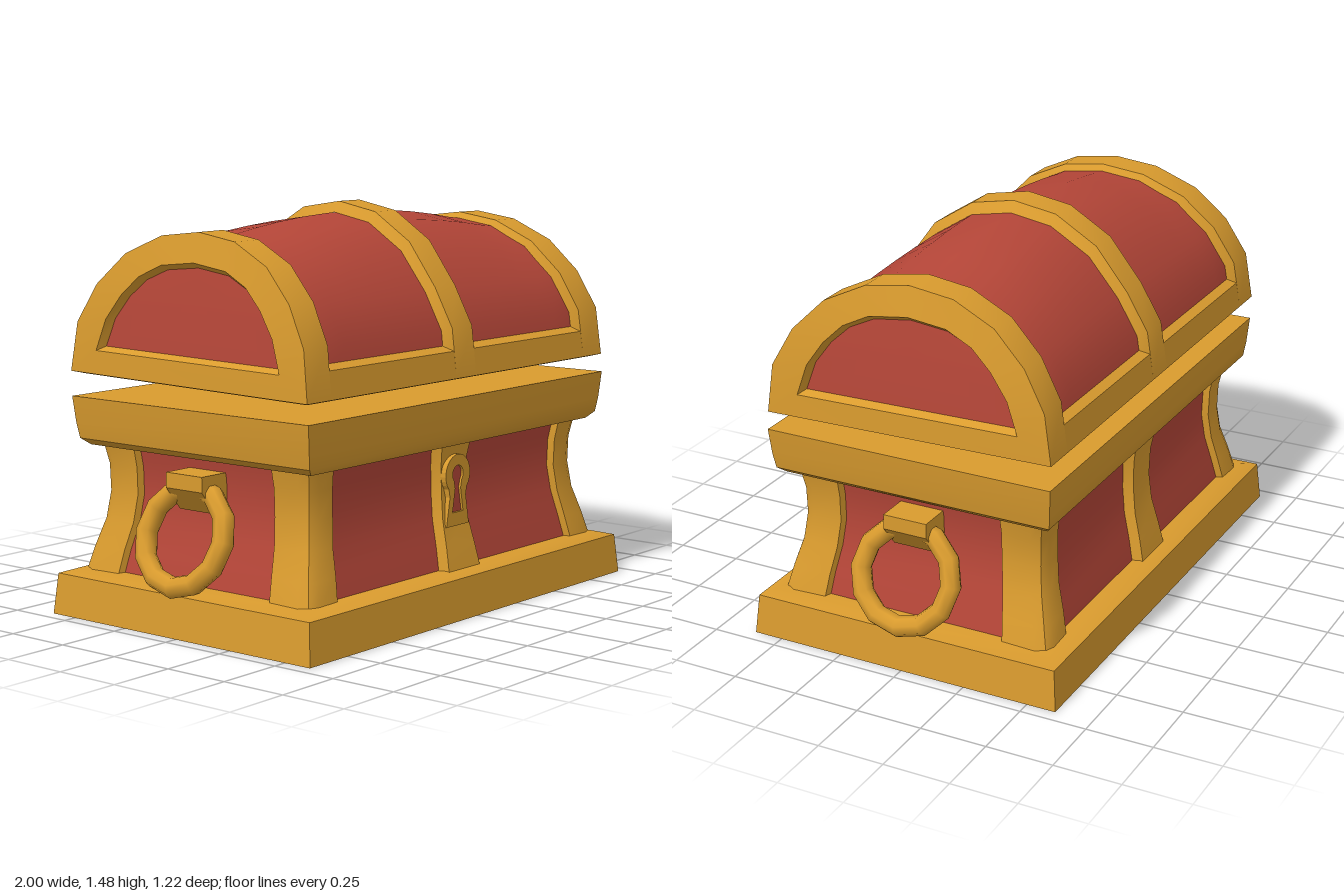
import * as THREE from 'three';
import { toCreasedNormals } from 'three/addons/utils/BufferGeometryUtils.js';

const gold = new THREE.MeshStandardMaterial({ color: 0xd99b2e });
gold.name = 'gold';
const red = new THREE.MeshStandardMaterial({ color: 0xb54638 });
red.name = 'red';

const V = (x, y, z) => new THREE.Vector3(x, y, z);

function add(parent, name, geometry, material) {
  const mesh = new THREE.Mesh(geometry, material);
  mesh.name = name;
  parent.add(mesh);
  return mesh;
}

// Skin a grid of points; columns run left to right and rows upward, seen from outside
function skin(rows, closeCols = false, closeRows = false) {
  const pos = [];
  const tri = (a, b, c) => {
    const area = b.clone().sub(a).cross(c.clone().sub(a)).length();
    if (area > 1e-8) for (const p of [a, b, c]) pos.push(p.x, p.y, p.z);
  };
  const nr = rows.length, nc = rows[0].length;
  for (let i = 0; i < (closeRows ? nr : nr - 1); i++) {
    for (let j = 0; j < (closeCols ? nc : nc - 1); j++) {
      const r0 = rows[i], r1 = rows[(i + 1) % nr], k = (j + 1) % nc;
      tri(r0[j], r0[k], r1[k]);
      tri(r0[j], r1[k], r1[j]);
    }
  }
  const g = new THREE.BufferGeometry();
  g.setAttribute('position', new THREE.Float32BufferAttribute(pos, 3));
  return toCreasedNormals(g, 0.7);
}

// A ring collapsed to its middle, for closing an end
function middle(ring) {
  const c = V(0, 0, 0);
  ring.forEach((p) => c.add(p));
  c.divideScalar(ring.length);
  return ring.map(() => c);
}
const solid = (rings) => skin([middle(rings[0]), ...rings, middle(rings[rings.length - 1])], true);
const boxRing = ([x, z, y]) => [V(-x, y, z), V(x, y, z), V(x, y, -z), V(-x, y, -z)];
// Mirror a list of points to another side, keeping its facing
function mirror(points, sx, sz) {
  const m = points.map((p) => V(p.x * sx, p.y, p.z * sz));
  return sx * sz < 0 ? m.reverse() : m;
}

// Concave body: y, half width, half depth, post inner x, post inner z, band half width
const BODY = [
  [0.16, 0.872, 0.542, 0.70, 0.345, 0.11],
  [0.25, 0.848, 0.522, 0.685, 0.335, 0.10],
  [0.35, 0.815, 0.496, 0.67, 0.32, 0.09],
  [0.45, 0.80, 0.485, 0.657, 0.31, 0.085],
  [0.55, 0.803, 0.487, 0.66, 0.31, 0.09],
  [0.63, 0.82, 0.50, 0.67, 0.31, 0.102],
];

function buildBase() {
  const base = new THREE.Group();
  base.name = 'base';
  add(base, 'plinth', solid([[0.95, 0.61, 0], [0.935, 0.597, 0.15], [0.86, 0.54, 0.17]].map(boxRing)), gold);
  add(base, 'rim', solid([[0.80, 0.48, 0.62], [0.835, 0.52, 0.62], [0.867, 0.542, 0.645],
    [0.878, 0.549, 0.70], [0.89, 0.556, 0.80]].map(boxRing)), gold);
  add(base, 'bodyPanels', solid(BODY.map(([y, x, z]) => boxRing([x - 0.03, z - 0.03, y]))), red);

  for (const sz of [1, -1]) {
    // Corner posts with softened edges
    for (const sx of [1, -1]) {
      const rings = BODY.map(([y, x, z, ix, iz]) => mirror([
        V(ix, y, z - 0.05), V(ix + 0.015, y, z - 0.005), V(x - 0.05, y, z), V(x - 0.015, y, z - 0.015),
        V(x, y, z - 0.05), V(x - 0.005, y, iz + 0.015), V(x - 0.05, y, iz),
      ], sx, sz));
      add(base, 'cornerPost', skin(rings, true), gold);
    }
    // Upright band in the middle of the front and back
    const band = BODY.map(([y, , z, , , w]) => mirror([
      V(-w, y, z - 0.04), V(-w + 0.015, y, z + 0.008), V(w - 0.015, y, z + 0.008), V(w, y, z - 0.04),
    ], 1, sz));
    add(base, 'middleBand', skin(band), gold);
  }
  return base;
}

// Keyhole outline: round head over a flared foot
function keyOutline(Type, r, cy, neck, neckY, foot, footY) {
  const s = new Type();
  s.moveTo(-foot, footY);
  s.lineTo(foot, footY);
  s.lineTo(neck, neckY);
  s.absarc(0, cy, r, -0.75, Math.PI + 0.75, false);
  s.lineTo(-neck, neckY);
  s.closePath();
  return s;
}

function buildLock() {
  const lock = new THREE.Group();
  lock.name = 'lock';
  const hole = [0.032, 0.512, 0.016, 0.46, 0.032, 0.372];
  const plate = keyOutline(THREE.Shape, 0.074, 0.511, 0.048, 0.43, 0.068, 0.322);
  plate.holes.push(keyOutline(THREE.Path, ...hole));
  add(lock, 'lockPlate', new THREE.ExtrudeGeometry(plate, { depth: 0.04, bevelEnabled: false, curveSegments: 10 })
    .translate(0, 0, 0.476), gold);
  add(lock, 'keyhole', new THREE.ExtrudeGeometry(keyOutline(THREE.Shape, ...hole),
    { depth: 0.008, bevelEnabled: false, curveSegments: 10 }).translate(0, 0, 0.499), red);
  return lock;
}

function buildHandle(sx) {
  const handle = new THREE.Group();
  handle.name = sx > 0 ? 'leftHandle' : 'rightHandle';
  const side = new THREE.Shape([[0.77, 0.435], [0.83, 0.435], [0.90, 0.52], [0.90, 0.575], [0.77, 0.575]]
    .map(([x, y]) => new THREE.Vector2(x * sx, y)));
  add(handle, 'handleMount', new THREE.ExtrudeGeometry(side, { depth: 0.17, bevelEnabled: false })
    .translate(0, 0, -0.085), gold);
  add(handle, 'handleRing', new THREE.TorusGeometry(0.18, 0.039, 8, 12)
    .rotateY(Math.PI / 2).rotateZ(0.35 * sx).translate(0.9 * sx, 0.355, 0), gold);
  return handle;
}

// Lid arch and end opening as z, y from the front edge to the ridge, then mirrored to the back
const LID_Y = 0.88, INSET = 0.945;
const fullArch = (half) => [...half, ...half.slice(0, -1).reverse().map(([z, y]) => [-z, y])];
const ARCH = fullArch([[0.555, LID_Y], [0.53, 1.06], [0.45, 1.2], [0.33, 1.315], [0.17, 1.388], [0, 1.41]]);
const OPENING = fullArch([[0.43, 0.965], [0.39, 1.08], [0.325, 1.17], [0.25, 1.24], [0.15, 1.287], [0, 1.305]]);
const endX = (y) => 0.89 - 0.07 * ((y - LID_Y) / 0.53) ** 2;

// Point on the lid: scaled toward the base and swelling upward near the middle
function lidPoint([z, y], x, s) {
  const swell = Math.max(0, 1 - (x / 0.7) ** 2);
  let py = LID_Y + (y - LID_Y) * s;
  if (py > 1.2) py = 1.2 + (py - 1.2) * (1 + 0.36 * swell);
  return V(x, py, z * s);
}

function buildLid() {
  const lid = new THREE.Group();
  lid.name = 'lid';
  const xs = Array.from({ length: 13 }, (_, i) => -0.76 + (i * 1.52) / 12);
  add(lid, 'lidPanels', skin(ARCH.map((p) => xs.map((x) => lidPoint(p, x, INSET)))), red);
  add(lid, 'lidMiddleBand', skin(ARCH.map((p) => [[-0.085, INSET], [-0.06, 1], [0.06, 1], [0.085, INSET]]
    .map(([x, s]) => lidPoint(p, x, s)))), gold);
  add(lid, 'lidUnderside', skin([middle(boxRing([0.85, 0.52, 0.87])), boxRing([0.85, 0.52, 0.87]),
    boxRing([0.89, 0.555, LID_Y])], true), gold);

  for (const sz of [1, -1]) {
    const strip = [[0.555, LID_Y], [0.541, 0.978], [0.5, 1.0]]
      .map(([z, y]) => mirror([V(-0.85, y, z), V(0.85, y, z)], 1, sz));
    add(lid, 'lidEdge', skin(strip), gold);
  }

  // Ends: arched frame around a recessed panel
  for (const sx of [1, -1]) {
    const recess = OPENING.map(([z, y]) => {
      const py = 0.98 + (y - 0.965) * 0.9;
      return V(endX(py) - 0.03, py, z * 0.95);
    });
    const frame = ARCH.map((p, i) => {
      const x = endX(p[1]), [hz, hy] = OPENING[i];
      return mirror([lidPoint(p, x - 0.145, INSET), lidPoint(p, x - 0.125, 1), lidPoint(p, x, 1),
        V(endX(hy), hy, hz), recess[i]], sx, 1);
    });
    add(lid, 'lidEndFrame', skin(frame, false, true), gold);
    const ring = mirror(recess.slice().reverse(), sx, 1);
    add(lid, 'lidEndPanel', skin([ring, middle(ring)], true), red);
  }

  // Slight forward tilt about the lid's lower edge
  const tilt = 0.02;
  lid.rotation.x = tilt;
  lid.position.set(0, LID_Y * (1 - Math.cos(tilt)), -(LID_Y + 0.2) * Math.sin(tilt));
  return lid;
}

export function createModel() {
  const chest = new THREE.Group();
  chest.name = 'treasureChest';
  chest.add(buildBase(), buildLock(), buildHandle(1), buildHandle(-1), buildLid());
  return chest;
}
